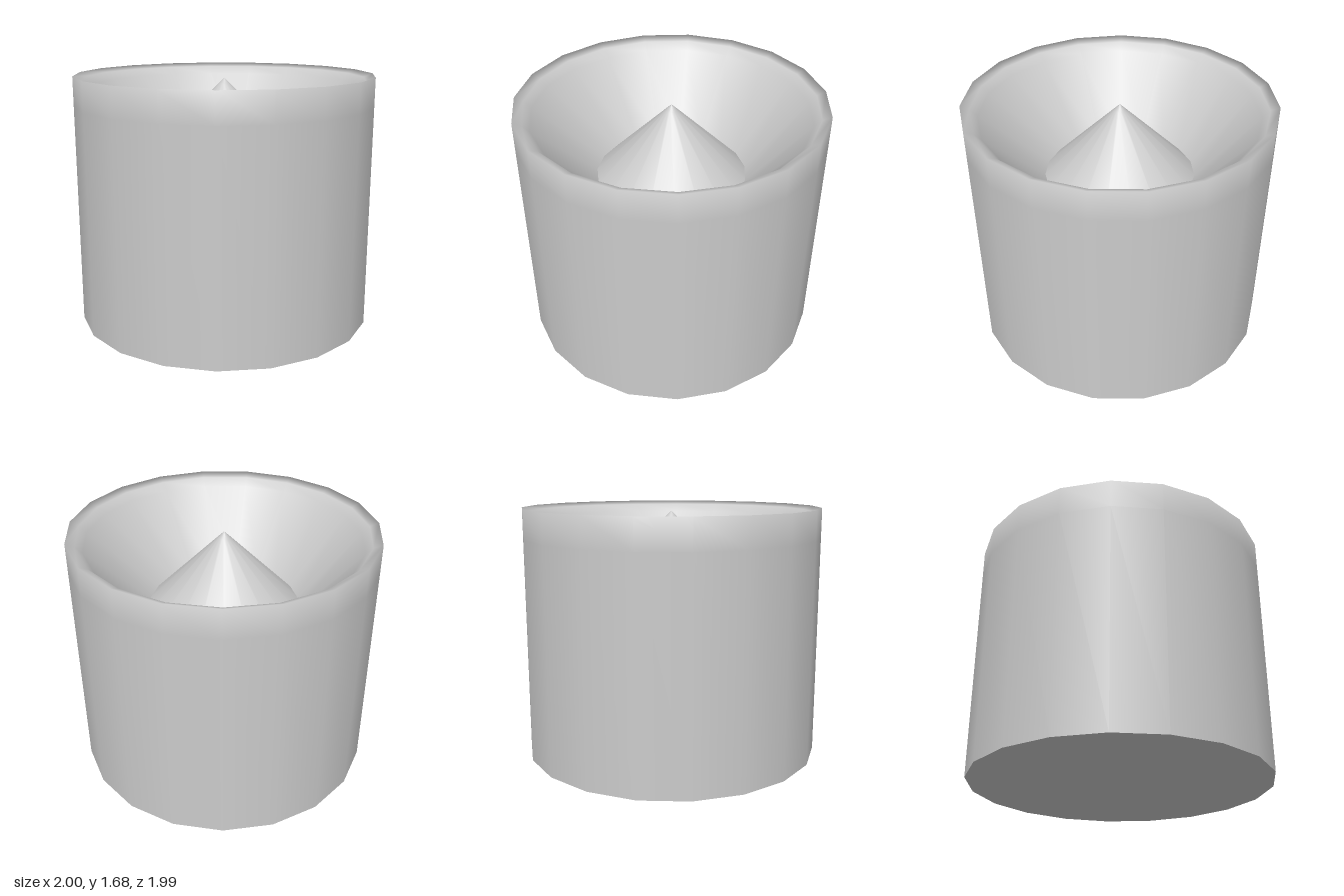
import * as THREE from 'three';

const SIDES = 19;
const R = 1.003;   // outer radius
const TOP = 1.685; // rim height

export function createModel() {
  const group = new THREE.Group();
  group.name = 'conedBowl';
  const material = new THREE.MeshStandardMaterial({ color: 0xcccccc });

  // Each part is a smooth turned profile; separate parts keep sharp creases between them.
  const turn = (name, profile) => {
    const points = profile.map(([r, y]) => new THREE.Vector2(r, y));
    const mesh = new THREE.Mesh(new THREE.LatheGeometry(points, SIDES), material);
    mesh.name = name;
    mesh.position.z = -0.007; // centres the odd-sided outline
    group.add(mesh);
  };

  // Very shallow conical underside
  turn('underside', [[0, 0], [0.05, 0.003], [R, 0.012]]);

  // Outer wall, softened rim and sloping bowl
  turn('wallAndBowl', [
    [R, 0.012], [R, 1.49], [R, TOP], [0.945, 1.66], [0.9, 1.61], [0.5, 1.15],
  ]);

  // Central cone rising from the bowl
  turn('centreCone', [[0.5, 1.15], [0.04, 1.62], [0, 1.66]]);

  return group;
}
